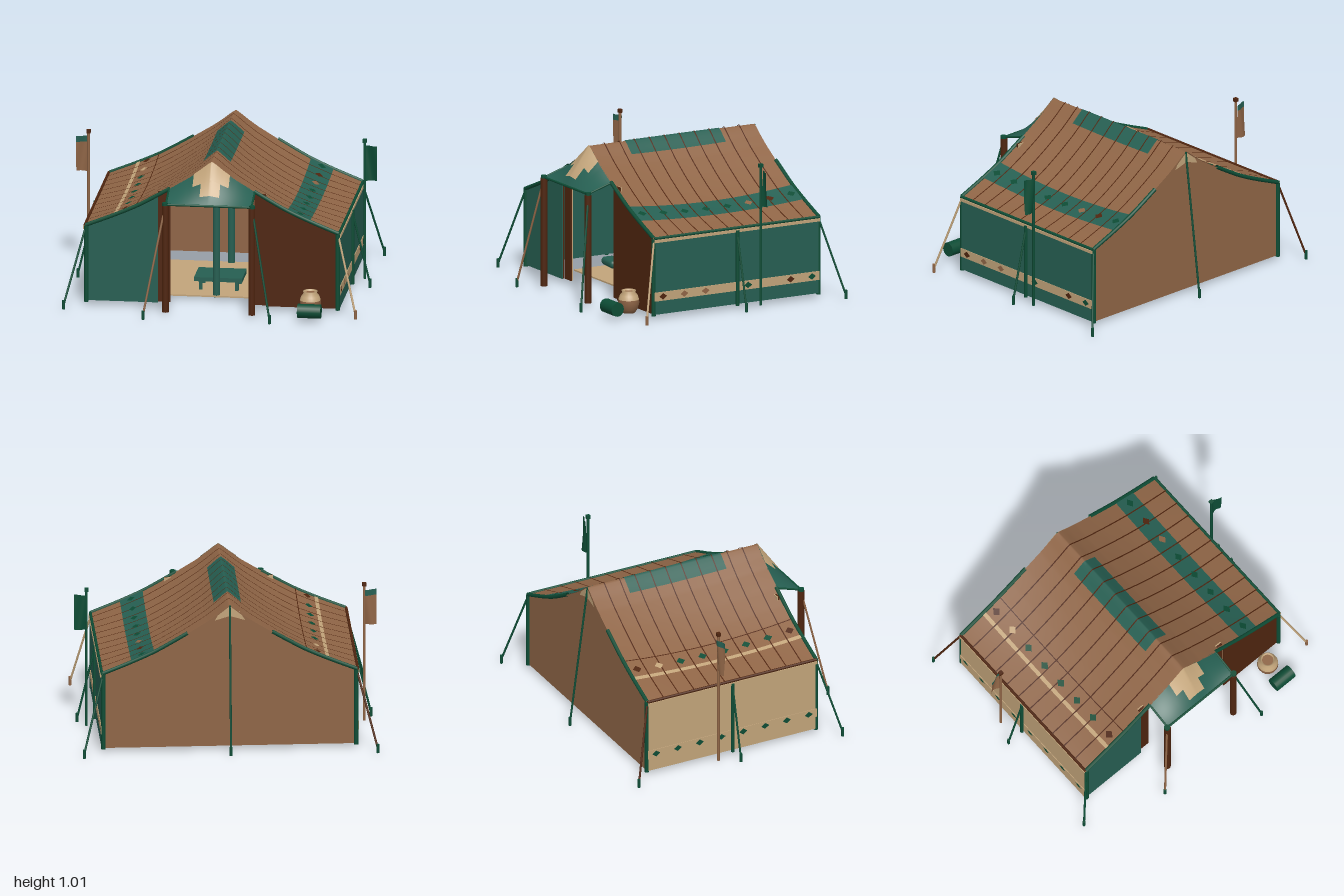
import * as THREE from 'three';
import { RoundedBoxGeometry } from 'three/addons/geometries/RoundedBoxGeometry.js';

const mat = (name, color) => new THREE.MeshStandardMaterial({ name, color, side: THREE.DoubleSide });

// Roof cross-section from ridge to eave: [x, y]
const PROFILE = [[0, 1.005], [0.03, 0.985], [0.08, 0.945], [0.15, 0.895], [0.22, 0.852], [0.28, 0.815],
  [0.4, 0.745], [0.5, 0.69], [0.65, 0.622], [0.84, 0.545], [0.9, 0.52]];
const HALF = 0.84, FRONT = 0.54, BACK = -0.72, MID = -0.09;

function profile(x) {
  const a = Math.abs(x);
  const i = Math.max(1, PROFILE.findIndex(p => p[0] >= a));
  const [x0, y0] = PROFILE[i - 1], [x1, y1] = PROFILE[i];
  return y0 + (y1 - y0) * (a - x0) / (x1 - x0);
}
// The cloth sags between the gables
function roofY(x, z) {
  const k = (z - MID) / 0.63;
  return profile(x) - 0.04 * Math.sin(Math.PI * Math.min(1, Math.abs(x) / HALF)) * Math.max(0, 1 - k * k);
}
// Canopy from the front gable down to a straight edge
const canopyPoint = (x, t, lift = 0) => [x, profile(x) * (1 - t) + 0.755 * t + lift, FRONT + 0.18 * t + lift];

export function createModel() {
  const root = new THREE.Group();
  root.name = 'tent';
  const brown = mat('canvas brown', 0x8f6546), dark = mat('dark brown', 0x4f250f), tan = mat('tan', 0xc2a47a),
    teal = mat('teal', 0x265f52), green = mat('deep green', 0x0d4c35);

  function add(name, geo, material, x = 0, y = 0, z = 0) {
    const m = new THREE.Mesh(geo, material);
    m.name = name;
    m.position.set(x, y, z);
    root.add(m);
    return m;
  }
  const box = (name, m, w, h, d, x, y, z) => add(name, new THREE.BoxGeometry(w, h, d), m, x, y, z);
  const post = (name, m, r, y0, y1, x, z) =>
    add(name, new THREE.CylinderGeometry(r, r, y1 - y0, 14), m, x, (y0 + y1) / 2, z);
  // Surface moved onto a rule f(a, b) over a rectangle
  function sheet(name, m, f, a0, a1, b0, b1, na, nb) {
    const g = new THREE.PlaneGeometry(1, 1, na, nb), p = g.attributes.position;
    for (let i = 0; i < p.count; i++)
      p.setXYZ(i, ...f(a0 + (p.getX(i) + 0.5) * (a1 - a0), b0 + (0.5 - p.getY(i)) * (b1 - b0)));
    g.computeVertexNormals();
    return add(name, g, m);
  }
  const cloth = (name, m, x0, x1, z0, z1, lift, nz = 24) =>
    sheet(name, m, (x, z) => [x, roofY(x, z) + lift, z], x0, x1, z0, z1, Math.max(2, Math.round((x1 - x0) / 0.0125)), nz);
  function rod(name, m, a, b, r) {
    const va = new THREE.Vector3(...a), vb = new THREE.Vector3(...b), d = vb.clone().sub(va);
    const mesh = add(name, new THREE.CylinderGeometry(r, r, d.length(), 8), m);
    mesh.position.copy(va).addScaledVector(d, 0.5);
    mesh.quaternion.setFromUnitVectors(new THREE.Vector3(0, 1, 0), d.normalize());
  }

  // Roof, seams, ridge patch and side stripes
  cloth('roof', brown, -0.85, 0.85, BACK, FRONT + 0.005, 0);
  for (let i = 0; i < 10; i++) {
    const z = 0.43 - 0.1145 * i;
    cloth('roofSeam', dark, -0.85, 0.85, z - 0.004, z + 0.004, 0.008, 1);
  }
  cloth('ridgePatch', teal, -0.09, 0.09, -0.45, 0.27, 0.005);
  cloth('leftStripe', teal, 0.5, 0.65, BACK, FRONT, 0.005);
  cloth('rightStripeEdge', tan, -0.66, -0.635, BACK, FRONT, 0.005);
  cloth('rightStripeLine', dark, -0.512, -0.506, BACK, FRONT, 0.005);

  // Diamonds on the roof stripes and side walls
  const leftColours = [green, dark, brown, green, green, green, green, green];
  const rightColours = [dark, tan, green, green, green, green, green, dark];
  const wallColours = [green, dark, tan, green, tan, brown, brown, dark];
  for (let i = 0; i < 8; i++) {
    const z = -0.66 + 0.1625 * i;
    for (const [x, m] of [[0.58, leftColours[i]], [-0.585, rightColours[i]]]) {
      const g = new THREE.CircleGeometry(1, 4), p = g.attributes.position;
      for (let k = 0; k < p.count; k++) {
        const px = x + p.getX(k) * 0.026, pz = z + p.getY(k) * 0.032;
        p.setXYZ(k, px, roofY(px, pz) + 0.009, pz);
      }
      g.computeVertexNormals();
      add('roofDiamond', g, m);
    }
    for (const s of [1, -1]) {
      const d = add('wallDiamond', new THREE.CircleGeometry(1, 4), s > 0 ? wallColours[i] : green, s * 0.854, 0.15, z);
      d.scale.set(0.03, 0.022, 1);
      d.rotation.y = s * Math.PI / 2;
    }
  }

  // Side walls with lining, band, eave beams and posts
  const length = FRONT - BACK;
  for (const s of [1, -1]) {
    box('sideWall', s > 0 ? teal : tan, 0.008, 0.5, length, s * 0.844, 0.28, MID);
    box('sideWallLining', teal, 0.008, 0.5, length, s * 0.835, 0.28, MID);
    box('wallBand', tan, 0.004, 0.06, length, s * 0.85, 0.15, MID);
    box('eaveBeam', tan, 0.024, 0.02, length, s * 0.845, 0.527, MID);
    rod('eavePole', s > 0 ? green : dark, [s * 0.845, 0.545, BACK], [s * 0.845, 0.545, FRONT], 0.01);
    for (const z of [FRONT, BACK]) post('cornerPost', green, 0.015, 0.02, 0.54, s * 0.835, z);
    post('wallPost', green, 0.012, 0.02, 0.53, s * 0.855, MID);
    // Trim along the gable edges
    for (const z of [FRONT, BACK]) {
      const pts = PROFILE.slice(5, 10).map(([x, y]) => new THREE.Vector3(s * x, y, z));
      add('gableTrim', new THREE.TubeGeometry(new THREE.CatmullRomCurve3(pts), 20, 0.013, 8), green);
    }
  }

  // Front panels and door flaps
  for (const s of [1, -1]) {
    const shape = new THREE.Shape([[0.36, 0.03], [0.84, 0.03], [0.84, 0.54], [0.65, 0.618], [0.5, 0.685], [0.36, 0.765]]
      .map(([x, y]) => new THREE.Vector2(s * x, y)));
    const panel = () => new THREE.ExtrudeGeometry(shape, { depth: 0.008, bevelEnabled: false });
    add('frontPanel', panel(), s > 0 ? dark : teal, 0, 0, FRONT - 0.008);
    add('frontPanelLining', panel(), s > 0 ? brown : dark, 0, 0, FRONT - 0.017);
    box('doorFlap', dark, 0.08, 0.76, 0.01, s * 0.32, 0.41, 0.515);
    box('doorFlapLining', tan, 0.08, 0.76, 0.008, s * 0.32, 0.41, 0.506);
  }

  // Back gable wall with a small patch at the peak
  const edge = PROFILE.slice(1, 10);
  const gable = [[-HALF, 0.03], [HALF, 0.03], ...edge.slice().reverse(), PROFILE[0], ...edge.map(([x, y]) => [-x, y])];
  add('backWall', new THREE.ExtrudeGeometry(new THREE.Shape(gable.map(p => new THREE.Vector2(p[0], p[1] - 0.003))),
    { depth: 0.01, bevelEnabled: false }), brown, 0, 0, BACK);
  const peak = [[-0.1, 0.9], [0, 0.93], [0.1, 0.9], [0.08, 0.935], [0.03, 0.975], [0, 0.998], [-0.03, 0.975], [-0.08, 0.935]];
  add('backPeakPatch', new THREE.ShapeGeometry(new THREE.Shape(peak.map(p => new THREE.Vector2(...p)))), tan, 0, 0, BACK - 0.005);

  // Front canopy, stepped patch and posts
  sheet('canopy', teal, (x, t) => canopyPoint(x, t), -0.285, 0.285, 0, 1, 46, 10);
  const patch = (x, t) => canopyPoint(x, t, 0.005);
  sheet('canopyPatch', tan, patch, -0.12, 0.12, 0, 0.42, 24, 6);
  sheet('canopyPatchTip', tan, patch, -0.065, 0.065, 0.42, 0.78, 12, 6);
  rod('canopyEdge', green, [-0.29, 0.755, 0.72], [0.29, 0.755, 0.72], 0.008);
  for (const s of [1, -1]) {
    rod('canopySideEdge', green, [s * 0.285, 0.812, FRONT], [s * 0.285, 0.755, 0.72], 0.007);
    post('canopyPost', dark, 0.023, 0.02, 0.75, s * 0.287, 0.72);
    post('canopyPostCap', green, 0.02, 0.75, 0.768, s * 0.29, 0.72);
  }

  // Guy ropes and stakes: [from, to, colour]
  const ropes = [[[0, 1, BACK], [0, 0.03, -0.85], green]];
  for (const s of [1, -1]) {
    ropes.push([[s * 0.84, 0.53, FRONT], [s * 0.97, 0.03, 0.67], s > 0 ? tan : green],
      [[s * 0.84, 0.53, BACK], [s * 0.97, 0.03, -0.85], s > 0 ? green : dark],
      [[s * 0.85, 0.53, MID], [s * 0.97, 0.03, MID], green],
      [[s * 0.29, 0.74, 0.72], [s * 0.42, 0.03, 0.85], s > 0 ? green : brown]);
  }
  for (const [a, b, m] of ropes) {
    rod('guyRope', m, a, b, 0.007);
    post('stake', m === tan ? brown : green, 0.01, 0, 0.06, b[0], b[2]);
  }

  // Flags on tall poles
  for (const s of [1, -1]) {
    post('flagPole', s > 0 ? green : brown, 0.009, 0.02, 0.96, s * 0.918, -0.23);
    box('flagPoleCap', s > 0 ? green : dark, 0.026, 0.024, 0.026, s * 0.918, 0.965, -0.23);
    const wave = (a, y) => [s * a, y, -0.235 - 0.012 * Math.sin((a - 0.92) * 50 + y * 8)];
    sheet('flag', s > 0 ? green : brown, wave, 0.922, 1, 0.69, s > 0 ? 0.93 : 0.89, 8, 10);
    if (s < 0) sheet('flagTop', teal, wave, 0.922, 1, 0.89, 0.93, 8, 4);
  }

  // Rug, low table and ridge poles
  box('rug', tan, 1.14, 0.01, 0.82, 0, 0.022, -0.085);
  box('tableTop', teal, 0.32, 0.028, 0.24, 0, 0.106, 0.1);
  for (const x of [-0.12, 0.12]) for (const z of [0.02, 0.18]) box('tableLeg', teal, 0.022, 0.085, 0.022, x, 0.055, z);
  for (const z of [-0.48, 0.3]) post('ridgePole', teal, 0.024, 0.015, 0.94, 0, z);

  // Floor cushions in a row
  [teal, green, tan, teal, tan, brown].forEach((m, i) => {
    const c = add('cushion', new RoundedBoxGeometry(0.17, 0.055, 0.1, 3, 0.025), m, -0.52, 0.055, 0.06 - 0.115 * i);
    c.rotation.y = i % 2 ? 0.12 : -0.1;
  });

  // Round jars: lower belly and upper shoulder
  function jar(name, low, high, r, h, x, z) {
    const lathe = pts => new THREE.LatheGeometry(pts.map(([a, b]) => new THREE.Vector2(a * r, b * h)), 24);
    add(name + 'Belly', lathe([[0, 0], [0.6, 0], [0.85, 0.18], [1, 0.42], [0.98, 0.6]]), low, x, 0.022, z);
    add(name + 'Shoulder', lathe([[0.98, 0.6], [0.85, 0.78], [0.62, 0.92], [0.7, 1], [0.58, 1], [0.5, 0.9]]), high, x, 0.022, z);
    add(name + 'Mouth', new THREE.CircleGeometry(r * 0.54, 20).rotateX(-Math.PI / 2), low, x, 0.022 + h * 0.93, z);
  }
  jar('outsideJar', brown, tan, 0.07, 0.15, 0.665, 0.63);
  jar('tallJar', brown, brown, 0.075, 0.225, 0.2, -0.58);
  jar('tealJar', teal, teal, 0.08, 0.18, 0.44, -0.58);
  jar('tanJar', tan, tan, 0.07, 0.16, 0.68, -0.55);
  jar('darkJar', brown, dark, 0.07, 0.15, 0.7, -0.25);

  // Bedroll beside the entrance
  const roll = add('bedroll', new THREE.CylinderGeometry(0.047, 0.047, 0.155, 20), green, 0.675, 0.072, 0.765);
  roll.rotation.z = Math.PI / 2;

  return root;
}
